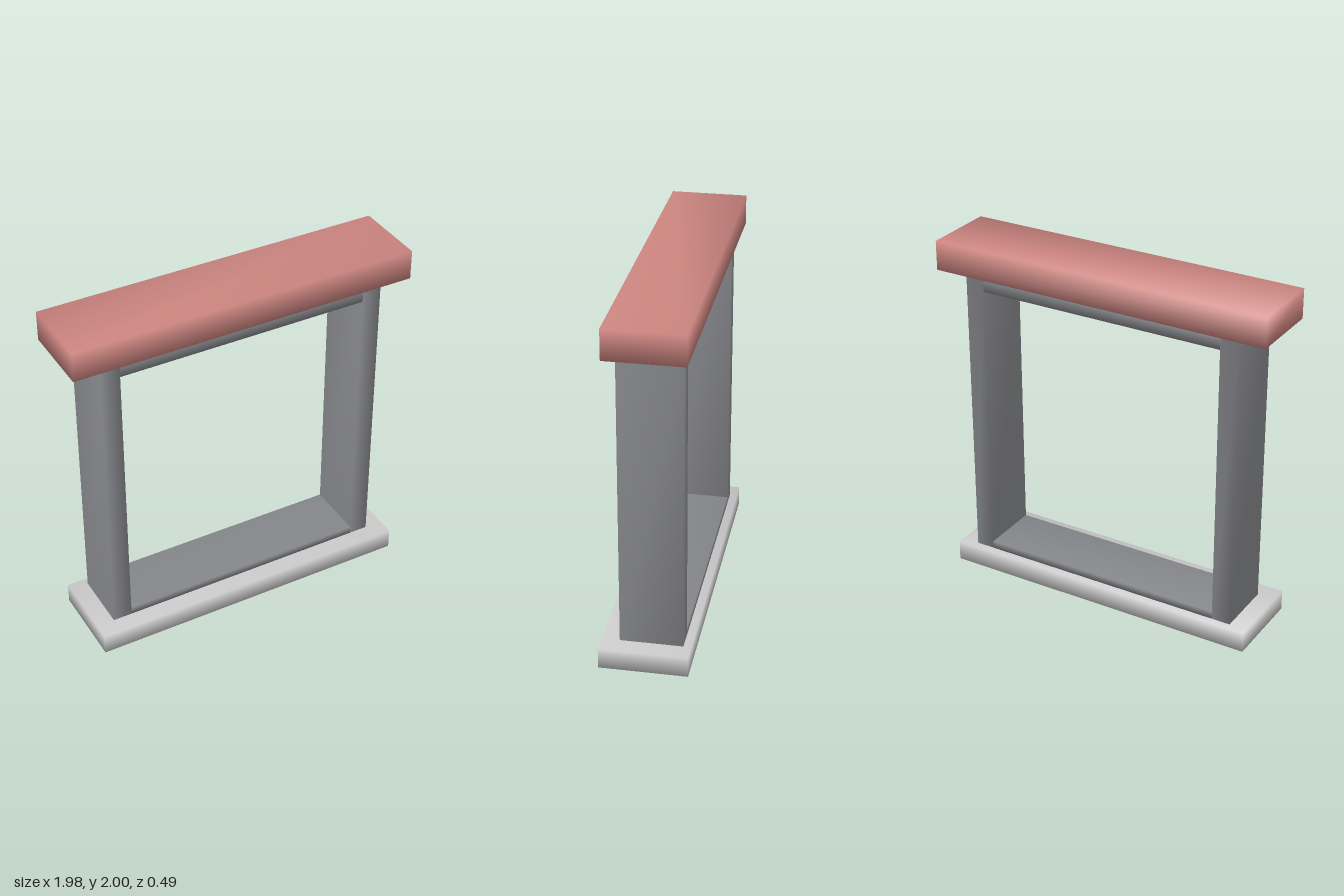
import * as THREE from 'three';
import { mergeVertices } from 'three/addons/utils/BufferGeometryUtils.js';

const stone = new THREE.MeshStandardMaterial({ color: 0xcccccc });
const frame = new THREE.MeshStandardMaterial({ color: 0x85868a });
const red = new THREE.MeshStandardMaterial({ color: 0xcc8580 });

// Box between two corners, with its corners welded for soft shading
function block(name, material, [x0, y0, z0], [x1, y1, z1]) {
  const box = new THREE.BoxGeometry(x1 - x0, y1 - y0, z1 - z0);
  box.deleteAttribute('normal');
  box.deleteAttribute('uv');
  const geometry = mergeVertices(box);
  geometry.computeVertexNormals();
  const mesh = new THREE.Mesh(geometry, material);
  mesh.name = name;
  mesh.position.set((x0 + x1) / 2, (y0 + y1) / 2, (z0 + z1) / 2);
  return mesh;
}

export function createModel() {
  const model = new THREE.Group();
  model.name = 'windowFrame';
  const back = -0.2, front = 0.145; // depth of the inner frame
  const inner = 0.72, outer = 0.83; // sides of each post
  const sillTop = 0.117, lintelBottom = 1.832;

  // Sill and lintel; the lintel is set back from the front
  model.add(block('sill', stone, [-0.934, 0, -0.243], [0.934, sillTop, 0.243]));
  model.add(block('lintel', red, [-0.992, lintelBottom, -0.243], [0.992, 2, 0.184]));

  // Posts
  model.add(block('leftPost', frame, [inner, sillTop, back], [outer, lintelBottom, front]));
  model.add(block('rightPost', frame, [-outer, sillTop, back], [-inner, lintelBottom, front]));

  // Rails between the posts
  model.add(block('bottomRail', frame, [-inner, sillTop, back], [inner, 0.162, front]));
  model.add(block('topRail', frame, [-inner, 1.745, back], [inner, lintelBottom, front]));

  return model;
}
